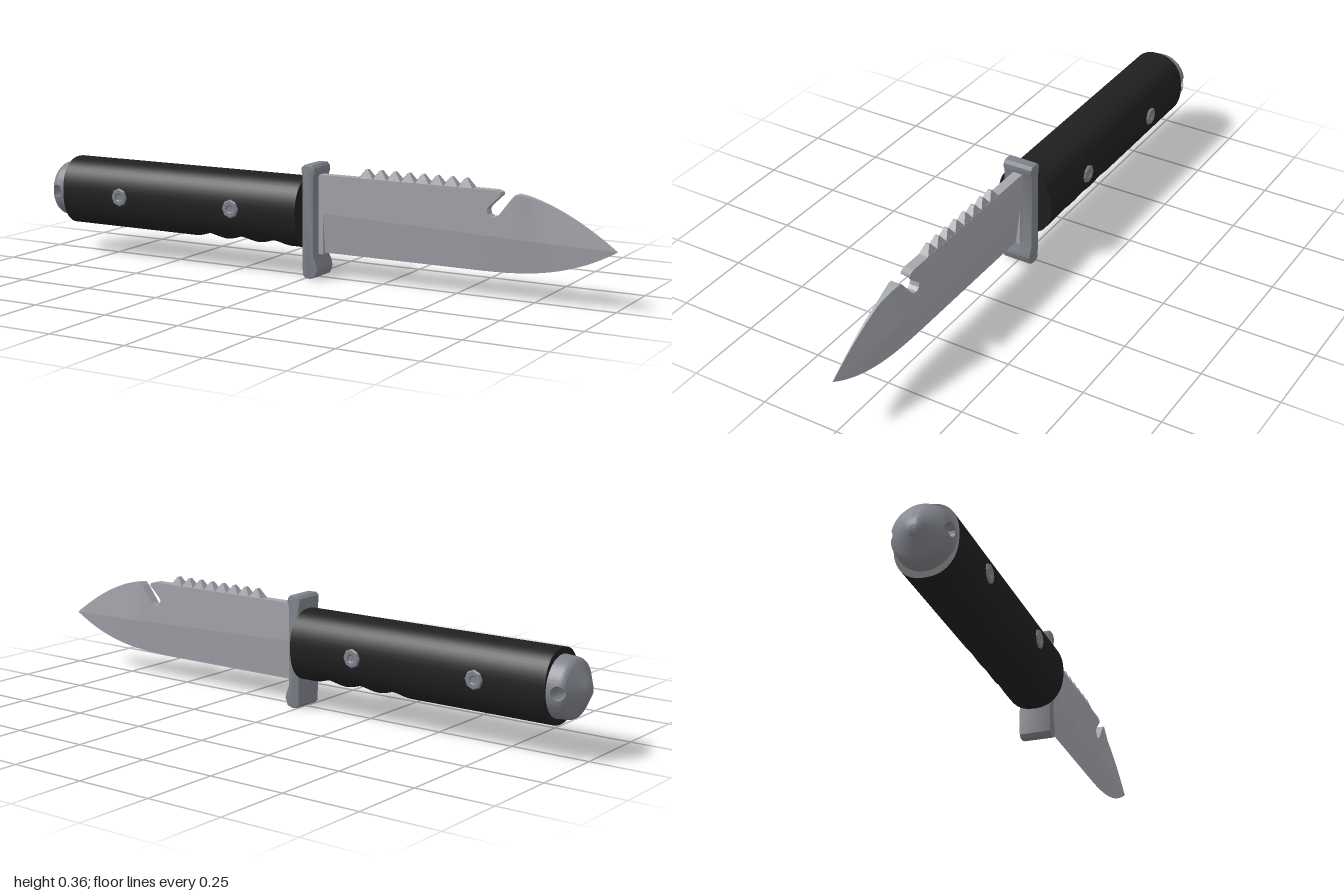
import * as THREE from 'three';
import { toCreasedNormals } from 'three/addons/utils/BufferGeometryUtils.js';

const AXIS_Y = 0.203; // height of the handle axis
const { lerp } = THREE.MathUtils;

// Skin a list of rings (each a closed loop of [x, y, z] points)
function skin(rings, wrap = false, crease = 0.5) {
  const n = rings[0].length, index = [];
  const last = wrap ? rings.length : rings.length - 1;
  for (let i = 0; i < last; i++) {
    for (let j = 0; j < n; j++) {
      const k = (i + 1) % rings.length, m = (j + 1) % n;
      const a = i * n + j, b = i * n + m, c = k * n + m, d = k * n + j;
      index.push(a, b, c, a, c, d);
    }
  }
  const g = new THREE.BufferGeometry();
  g.setAttribute('position', new THREE.Float32BufferAttribute(rings.flat(2), 3));
  g.setIndex(index);
  return toCreasedNormals(g, crease);
}

// Extrude an outline symmetrically about z = 0
function slab(points, half, bevel = 0) {
  const shape = new THREE.Shape(points.map(([x, y]) => new THREE.Vector2(x, y)));
  const depth = 2 * (half - bevel);
  const g = new THREE.ExtrudeGeometry(shape, {
    depth, bevelEnabled: bevel > 0, bevelSize: bevel, bevelThickness: bevel, bevelSegments: 2,
  });
  return g.translate(0, 0, -depth / 2);
}

// Blade side profile
const edgeY = x => 0.078 + 0.098 * Math.pow(Math.max(0, (x - 0.55) / 0.45), 2.8);
const spineY = x => 0.176 + 0.141 * (1 - Math.pow(Math.max(0, (x - 0.69) / 0.31), 1.6));
const grindY = x => lerp(0.205, 0.176, (x - 0.03) / 0.97);
const halfT = x => 0.016 * (x < 0.7 ? 1 : lerp(1, 0.08, (x - 0.7) / 0.3));

// Handle: squarish oval with finger grooves underneath
function handleGeometry() {
  const g = new THREE.CylinderGeometry(1, 1, 0.895, 48, 80).rotateZ(Math.PI / 2).translate(-0.4575, 0, 0);
  const p = g.attributes.position;
  for (let i = 0; i < p.count; i++) {
    const x = p.getX(i), a = Math.atan2(p.getY(i), p.getZ(i));
    const r = Math.hypot(p.getY(i), p.getZ(i));
    const round = v => Math.sign(v) * Math.pow(Math.abs(v), 2 / 2.3);
    let y = r * 0.112 * round(Math.sin(a));
    if (x > -0.42 && x < -0.06 && y < 0) {
      const groove = 0.5 - 0.5 * Math.cos((x + 0.42) / 0.12 * Math.PI * 2);
      y *= 1 - 0.11 * groove * Math.pow(Math.abs(Math.sin(a)), 2);
    }
    p.setXYZ(i, x, AXIS_Y + y, r * 0.095 * round(Math.cos(a)));
  }
  return toCreasedNormals(g, 0.7);
}

// Pommel: round tapered cap skinned around a cross hole
function pommelGeometry() {
  const profile = [[-1, 0], [-0.996, 0.02], [-0.957, 0.084], [-0.946, 0.09], [-0.89, 0.094]];
  const radius = x => {
    for (let i = 1; i < profile.length; i++) {
      const [x0, r0] = profile[i - 1], [x1, r1] = profile[i];
      if (x >= x0 && x <= x1) return lerp(r0, r1, (x - x0) / (x1 - x0));
    }
    return -1;
  };
  const cx = -0.94, hole = 0.021, steps = 14, rings = [];
  for (let i = 0; i < 72; i++) {
    const a = i / 72 * Math.PI * 2, c = Math.cos(a), s = Math.sin(a);
    let inside = 0, outside = 0.2;
    for (let k = 0; k < 30; k++) {
      const mid = (inside + outside) / 2;
      if (radius(cx + mid * c) > Math.abs(mid * s)) inside = mid; else outside = mid;
    }
    const front = [];
    for (let j = 0; j <= steps; j++) {
      const t = lerp(hole, inside, Math.sin(j / steps * Math.PI / 2));
      const x = cx + t * c, y = t * s;
      front.push([x, AXIS_Y + y, 0.96 * Math.sqrt(Math.max(0, radius(x) ** 2 - y * y))]);
    }
    const back = front.map(([x, y, z]) => [x, y, -z]).reverse();
    rings.push([...front, ...back]);
  }
  return skin(rings, true, 0.45);
}

export function createModel() {
  const model = new THREE.Group();
  model.name = 'knife';
  const grip = new THREE.MeshStandardMaterial({ color: 0x1f1f1f });
  grip.name = 'black grip';
  const steel = new THREE.MeshStandardMaterial({ color: 0xa4a6ad });
  steel.name = 'blade steel';
  const fitting = new THREE.MeshStandardMaterial({ color: 0x80838b });
  fitting.name = 'grey fittings';
  const add = (name, geometry, material, parent = model) => {
    const mesh = new THREE.Mesh(geometry, material);
    mesh.name = name;
    parent.add(mesh);
    return mesh;
  };

  add('handle', handleGeometry(), grip);
  add('pommel', pommelGeometry(), fitting);

  // Rivets with a shallow dish, on both sides of the handle
  const rivetProfile = [[0.03, 0.08], [0.03, 0.096], [0.026, 0.1], [0.014, 0.1], [0.01, 0.0965], [0, 0.0965]]
    .map(([r, y]) => new THREE.Vector2(r, y));
  const rivetGeometry = toCreasedNormals(new THREE.LatheGeometry(rivetProfile, 8), 0.3);
  for (const x of [-0.675, -0.245]) {
    for (const side of [1, -1]) {
      const rivet = add('rivet', rivetGeometry, fitting);
      rivet.position.set(x, 0.205, 0);
      rivet.rotation.x = side * Math.PI / 2;
    }
  }

  // Guard: flared at the top, kicked forward at the bottom
  add('guard', toCreasedNormals(slab([
    [-0.005, 0.012], [0.003, 0.004], [0.018, 0.003], [0.034, 0.008], [0.042, 0.03], [0.039, 0.045],
    [0.028, 0.07], [0.028, 0.322], [0.033, 0.335], [0.032, 0.347], [0.025, 0.355], [-0.001, 0.355],
    [-0.009, 0.348], [-0.009, 0.335], [-0.006, 0.32], [-0.006, 0.05],
  ], 0.05, 0.003), 0.6), fitting);

  const blade = new THREE.Group();
  blade.name = 'blade';
  model.add(blade);

  // Thick base next to the guard
  add('bladeBase', slab([[0.02, 0.075], [0.046, 0.075], [0.046, 0.325], [0.02, 0.325]], 0.0165), steel, blade);

  // Flat upper body with the hooked notch
  add('bladeBody', slab([
    [0.03, grindY(0.03)], [0.7, grindY(0.7)], [0.7, spineY(0.7)], [0.69, 0.317], [0.68, 0.308],
    [0.638, 0.254], [0.627, 0.246], [0.613, 0.244], [0.602, 0.252], [0.599, 0.265], [0.604, 0.275],
    [0.643, 0.312], [0.64, 0.32], [0.625, 0.325], [0.03, 0.325],
  ], 0.016), steel, blade);

  // Ground cutting bevel below the body
  const bevelRings = [];
  for (let i = 0; i <= 24; i++) {
    const x = lerp(0.04, 0.7, i / 24);
    bevelRings.push([[x, grindY(x), 0.016], [x, edgeY(x), 0.0005], [x, edgeY(x), -0.0005], [x, grindY(x), -0.016]]);
  }
  add('cuttingBevel', skin(bevelRings), steel, blade);

  // Point: thins toward the spine, edge and tip
  const tipRings = [];
  for (let i = 0; i <= 24; i++) {
    const x = lerp(0.7, 1, i / 24), h = halfT(x);
    const s = h * lerp(1, 0.4, Math.min(1, (x - 0.7) / 0.08));
    tipRings.push([
      [x, spineY(x), s], [x, grindY(x), h], [x, edgeY(x), 0.0005],
      [x, edgeY(x), -0.0005], [x, grindY(x), -h], [x, spineY(x), -s],
    ]);
  }
  add('bladePoint', skin(tipRings, false, 0.1), steel, blade);

  // Saw teeth along the spine, narrowing upward
  const tooth = slab([[-0.024, -0.004], [0.024, -0.004], [0.024, 0], [0.003, 0.028], [-0.003, 0.028], [-0.024, 0]], 0.016);
  const p = tooth.attributes.position;
  for (let i = 0; i < p.count; i++) if (p.getY(i) > 0.01) p.setZ(i, p.getZ(i) * 0.4);
  tooth.computeVertexNormals();
  for (let i = 0; i < 8; i++) add('sawTooth', tooth, steel, blade).position.set(0.194 + i * 0.0475, 0.325, 0);

  return model;
}
